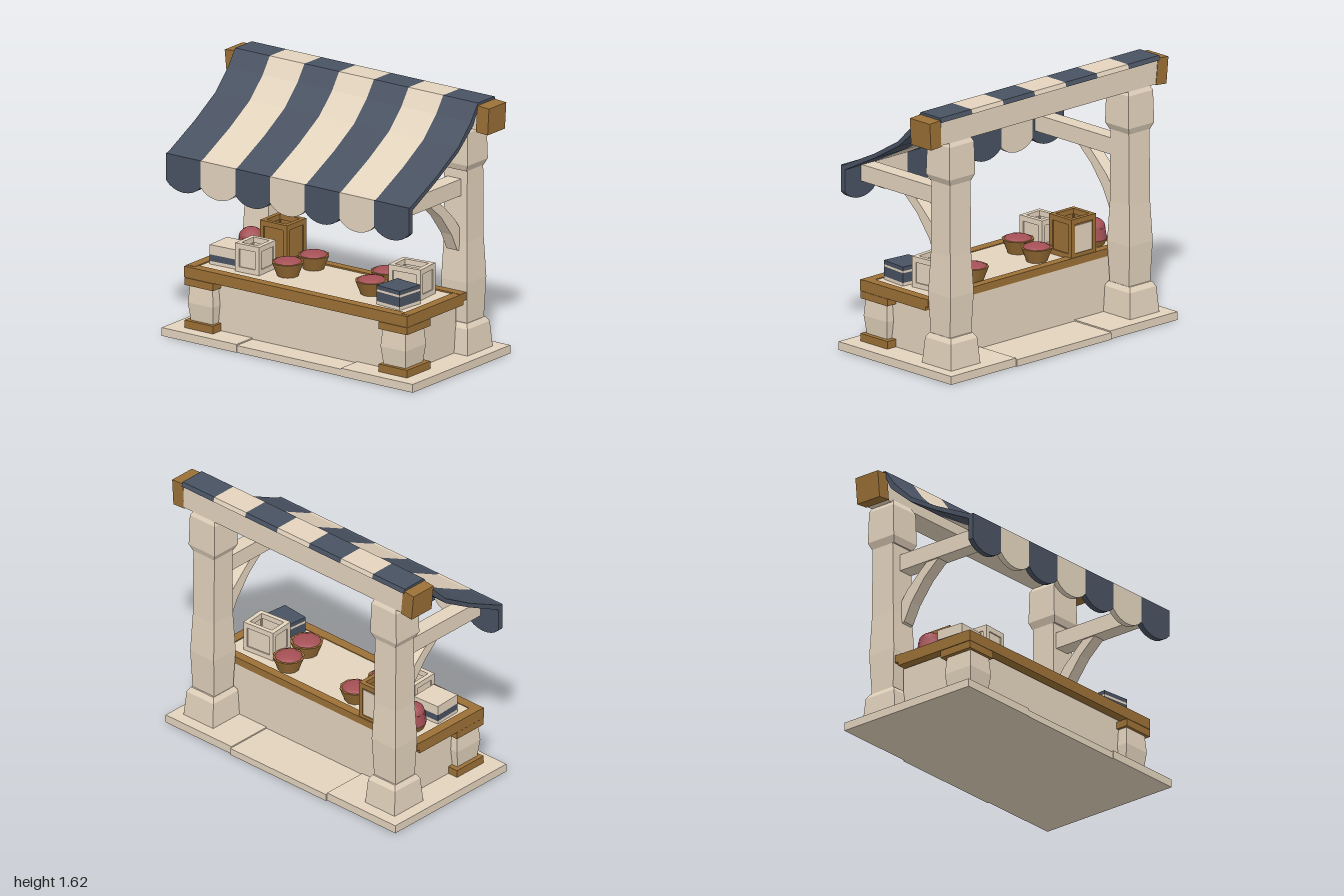
import * as THREE from 'three';

const mat = (name, color) => {
  const m = new THREE.MeshStandardMaterial({ color });
  m.name = name;
  return m;
};

export function createModel() {
  const root = new THREE.Group();
  root.name = 'marketStall';
  const cream = mat('cream', 0xe3d3bd);
  const blue = mat('navyBlue', 0x495262);
  const brown = mat('brownWood', 0x9b7036);
  const red = mat('fruitRed', 0xa45055);

  const add = (parent, name, geo, material, x = 0, y = 0, z = 0) => {
    const mesh = new THREE.Mesh(geo, material);
    mesh.name = name;
    mesh.position.set(x, y, z);
    parent.add(mesh);
    return mesh;
  };
  const group = (name, x = 0, y = 0, z = 0, turn = 0) => {
    const g = new THREE.Group();
    g.name = name;
    g.position.set(x, y, z);
    g.rotation.y = turn;
    root.add(g);
    return g;
  };
  // Box given by its limits on each axis
  const slab = (parent, name, material, x0, x1, y0, y1, z0, z1) =>
    add(parent, name, new THREE.BoxGeometry(x1 - x0, y1 - y0, z1 - z0), material,
      (x0 + x1) / 2, (y0 + y1) / 2, (z0 + z1) / 2);
  // Rectangular column through sections [y, width, depth]
  const column = (sections) => {
    const n = sections.length - 1;
    const geo = new THREE.BoxGeometry(1, 1, 1, 1, n, 1);
    const p = geo.attributes.position;
    for (let i = 0; i < p.count; i++) {
      const [y, w, d] = sections[Math.round((p.getY(i) + 0.5) * n)];
      p.setXYZ(i, p.getX(i) * w, y, p.getZ(i) * d);
    }
    const flat = geo.toNonIndexed();
    flat.computeVertexNormals();
    return flat;
  };
  // Side profile in (z, y), extruded across x from x0 to x1
  const across = (points, x0, x1) => {
    const shape = new THREE.Shape(points.map(([z, y]) => new THREE.Vector2(z, y)));
    const geo = new THREE.ExtrudeGeometry(shape, { depth: x1 - x0, bevelEnabled: false });
    geo.rotateY(-Math.PI / 2);
    geo.translate(x1, 0, 0);
    return geo;
  };

  // Stone base in three slabs
  slab(root, 'baseLeftSlab', cream, -0.92, -0.37, 0.012, 0.063, -0.48, 0.48);
  slab(root, 'baseMiddleSlab', cream, -0.37, 0.4, 0.012, 0.055, -0.49, 0.475);
  slab(root, 'baseRightSlab', cream, 0.4, 0.93, 0.012, 0.063, -0.48, 0.48);

  // Rear posts with foot, head, arm and curved brace
  for (const [name, x, armX] of [['rightPost', -0.725, 0.03], ['leftPost', 0.738, -0.01]]) {
    const post = group(name, x);
    add(post, 'postFoot', column([[0.05, 0.24, 0.25], [0.22, 0.215, 0.22], [0.25, 0.18, 0.18]]), cream, 0, 0, -0.28);
    add(post, 'postShaft', column([[0.2, 0.17, 0.16], [0.5, 0.19, 0.19], [0.75, 0.17, 0.165], [1.25, 0.17, 0.155]]), cream, 0, 0, -0.278);
    add(post, 'postHead', column([[1.19, 0.17, 0.17], [1.23, 0.21, 0.2], [1.43, 0.2, 0.19], [1.47, 0.16, 0.15]]), cream, 0, 0, -0.275);
    slab(post, 'canopyArm', cream, armX - 0.05, armX + 0.05, 1.03, 1.133, -0.24, 0.446);
    add(post, 'armBrace', across([[0.1, 1.04], [-0.02, 0.935], [-0.12, 0.805], [-0.175, 0.695], [-0.22, 0.685],
      [-0.22, 0.8], [-0.15, 0.895], [-0.05, 0.99], [0.01, 1.04]], armX - 0.04, armX + 0.04), cream);
  }

  // Ridge beam with wooden end caps
  slab(root, 'ridgeBeam', cream, -0.87, 0.9, 1.455, 1.612, -0.36, -0.205);
  const capA = slab(root, 'beamCapRight', brown, -0.95, -0.865, 1.445, 1.61, -0.363, -0.19);
  const capB = slab(root, 'beamCapLeft', brown, 0.898, 0.985, 1.445, 1.61, -0.36, -0.19);
  capA.rotation.z = 0.1;
  capB.rotation.z = -0.06;

  // Striped canopy: a thin sagging cloth and scalloped valance per stripe
  const canopy = group('canopy');
  const upper = [[-0.37, 1.6], [-0.36, 1.627], [-0.195, 1.628], [-0.125, 1.527], [0, 1.402], [0.2, 1.282], [0.44, 1.163], [0.485, 1.143]];
  const lower = [[0.46, 1.12], [0.2, 1.253], [0, 1.37], [-0.15, 1.5], [-0.2, 1.605], [-0.36, 1.605]];
  const stripes = 7, left = -0.885, width = 1.79 / stripes;
  for (let i = 0; i < stripes; i++) {
    const x0 = left + i * width, x1 = x0 + width;
    const cloth = i % 2 ? cream : blue;
    add(canopy, 'canopyStripe', across([...upper, ...lower], x0, x1), cloth);
    const scallop = new THREE.Shape();
    scallop.moveTo(x0, 1.15);
    scallop.lineTo(x0, 0.985);
    scallop.bezierCurveTo(x0 + 0.06, 0.91, x1 - 0.06, 0.91, x1, 0.985);
    scallop.lineTo(x1, 1.15);
    add(canopy, 'valanceScallop', new THREE.ExtrudeGeometry(scallop, { depth: 0.035, bevelEnabled: false, curveSegments: 8 }),
      cloth, 0, 0, 0.45);
  }

  // Counter: body, framed top and front corner legs
  const counter = group('counter', 0.008);
  slab(counter, 'counterBody', cream, -0.75, 0.75, 0.05, 0.405, -0.176, 0.32);
  slab(counter, 'counterTopPanel', cream, -0.78, 0.78, 0.39, 0.438, -0.14, 0.36);
  slab(counter, 'frontRail', brown, -0.822, 0.822, 0.375, 0.443, 0.338, 0.4);
  slab(counter, 'backRail', brown, -0.822, 0.822, 0.4, 0.447, -0.18, -0.125);
  for (const s of [-1, 1]) {
    add(counter, 'sideRail', new THREE.BoxGeometry(0.06, 0.07, 0.53), brown, s * 0.792, 0.41, 0.11);
    add(counter, 'legFoot', new THREE.BoxGeometry(0.21, 0.05, 0.23), brown, s * 0.715, 0.085, 0.285);
    add(counter, 'legBlock', column([[0.1, 0.16, 0.17], [0.22, 0.185, 0.2], [0.34, 0.165, 0.18]]), cream, s * 0.71, 0, 0.29);
    add(counter, 'legHead', new THREE.BoxGeometry(0.21, 0.045, 0.23), brown, s * 0.715, 0.35, 0.285);
  }

  // Open framed crate: corner posts, rails, thin inset walls and floor
  const crate = (name, frame, w, h, d, x, z, turn) => {
    const g = group(name, x, 0.438, z, turn);
    const t = 0.028, wall = 0.012;
    add(g, 'crateFloor', new THREE.BoxGeometry(w - t, wall, d - t), frame, 0, 0.015, 0);
    for (const s of [-1, 1]) {
      for (const sz of [-1, 1])
        add(g, 'cratePost', new THREE.BoxGeometry(t, h, t), frame, s * (w - t) / 2, h / 2, sz * (d - t) / 2);
      for (const y of [t / 2, h - t * 0.6]) {
        add(g, 'crateSideRail', new THREE.BoxGeometry(t, t * 1.2, d), frame, s * (w - t) / 2, y, 0);
        add(g, 'crateFrontRail', new THREE.BoxGeometry(w, t * 1.2, t), frame, 0, y, s * (d - t) / 2);
      }
      add(g, 'crateSideWall', new THREE.BoxGeometry(wall, h - 0.02, d - t), frame, s * (w - t) / 2, h / 2, 0);
      add(g, 'crateFrontWall', new THREE.BoxGeometry(w - t, h - 0.02, wall), frame, 0, h / 2, s * (d - t) / 2);
    }
    return g;
  };
  const tall = crate('tallCrate', brown, 0.2, 0.245, 0.19, -0.445, -0.08, 0);
  add(tall, 'cratePanel', new THREE.BoxGeometry(0.144, 0.17, 0.008), cream, 0, 0.117, -0.088);
  crate('frontCrate', cream, 0.17, 0.175, 0.18, -0.445, 0.19, 0.05);
  crate('leftCrate', cream, 0.22, 0.19, 0.17, 0.58, 0.02, 0.1);

  // Fruit heaped in a low dome
  const heap = (parent, r, y, rise) => {
    const dome = add(parent, 'fruitHeap', new THREE.SphereGeometry(r, 10, 4, 0, Math.PI * 2, 0, Math.PI / 2), red, 0, y, 0);
    dome.scale.y = rise / r;
  };
  // Baskets on the counter
  for (const [x, z, r] of [[-0.23, 0.16, 0.098], [-0.19, -0.04, 0.096], [0.38, 0.15, 0.1], [0.34, -0.05, 0.096]]) {
    const g = group('fruitBasket', x, 0.438, z);
    add(g, 'basketBowl', new THREE.CylinderGeometry(r, r * 0.66, 0.085, 10), brown, 0, 0.0425, 0);
    heap(g, r * 0.9, 0.08, 0.028);
  }
  // Loose pile of fruit on a low tray
  const pile = group('fruitPile', -0.65, 0.438, -0.04);
  add(pile, 'pileTray', new THREE.CylinderGeometry(0.085, 0.065, 0.04, 10), brown, 0, 0.02, 0);
  add(pile, 'pileSide', new THREE.CylinderGeometry(0.075, 0.085, 0.07, 10), red, 0, 0.075, 0);
  heap(pile, 0.075, 0.108, 0.06);

  // Stacks of folded cloth, each layer given as [material, thickness]
  const stack = (x, z, turn, layers) => {
    const g = group('foldedCloth', x, 0.438, z, turn);
    let y = 0;
    for (const [cloth, h] of layers) {
      add(g, 'clothLayer', new THREE.BoxGeometry(0.185, h, 0.18), cloth, 0, y + h / 2, 0);
      y += h;
    }
  };
  stack(-0.64, 0.17, 0.05, [[cream, 0.02], [blue, 0.04], [cream, 0.06]]);
  stack(0.63, 0.22, -0.1, [[cream, 0.02], [blue, 0.06], [cream, 0.013], [blue, 0.025]]);

  return root;
}
